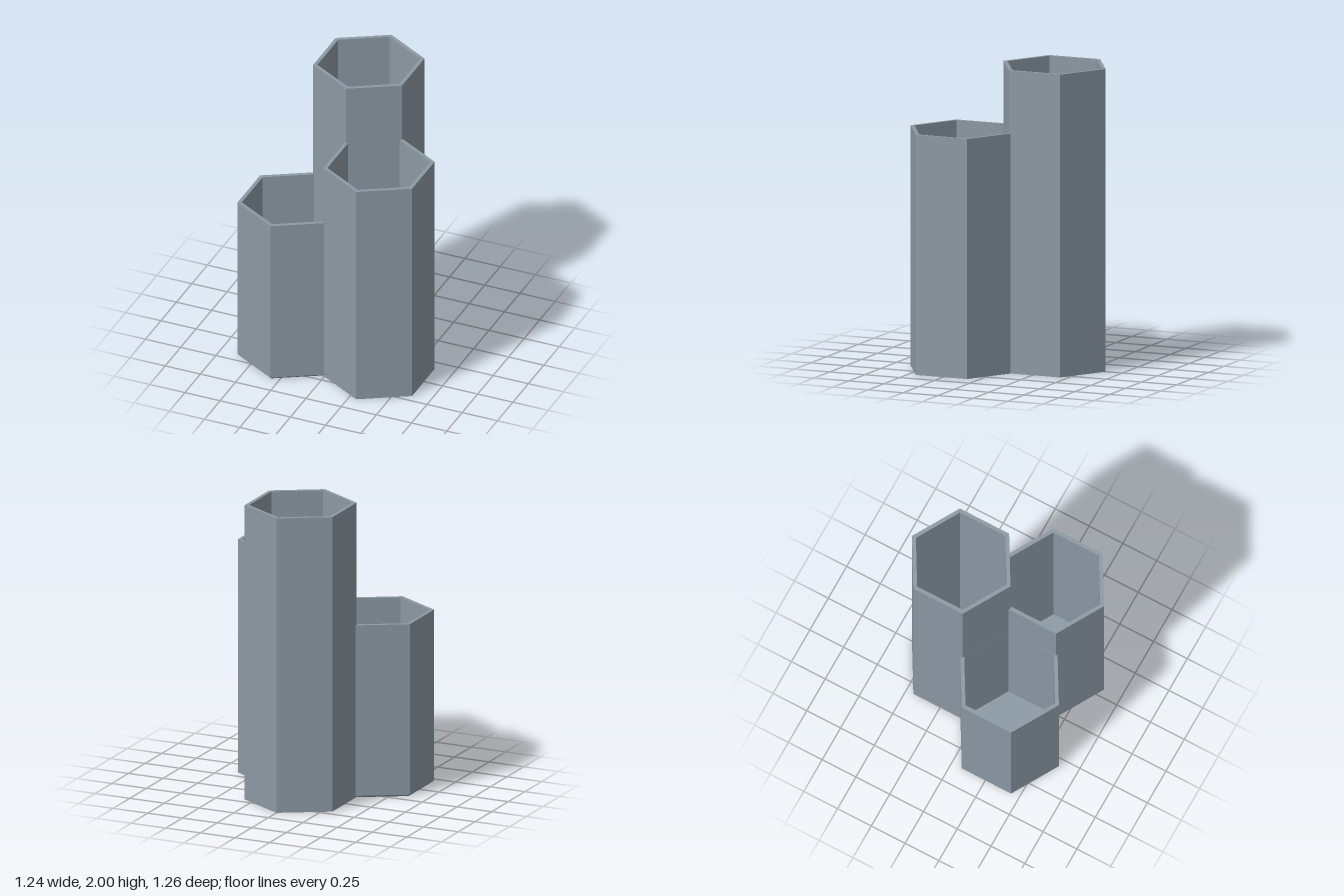
import * as THREE from 'three';

const slate = new THREE.MeshStandardMaterial({ color: 0x8b98a3 });
slate.name = 'slate';
slate.flatShading = true;

const OUTER = 0.365, INNER = 0.336, FLOOR = 0.03;

// Hollow six-sided cup with a closed floor; chamfer narrows the foot slightly
function hexTube(name, x, z, height, chamfer = 0) {
  const profile = [
    [0, 0], [OUTER - chamfer, 0], [OUTER, chamfer], [OUTER, height],
    [INNER, height], [INNER, FLOOR], [0, FLOOR],
  ].map(([r, y]) => new THREE.Vector2(r, y));
  if (!chamfer) profile.splice(2, 1);
  const tube = new THREE.Mesh(new THREE.LatheGeometry(profile, 6), slate);
  tube.name = name;
  tube.position.set(x, 0, z);
  return tube;
}

export function createModel() {
  const group = new THREE.Group();
  group.name = 'hexagonalPenHolder';
  group.add(
    hexTube('tallBackTube', 0, -0.265, 2),
    hexTube('mediumLeftTube', 0.303, 0.262, 1.585),
    hexTube('shortRightTube', -0.306, 0.26, 1.17, 0.012),
  );
  return group;
}
